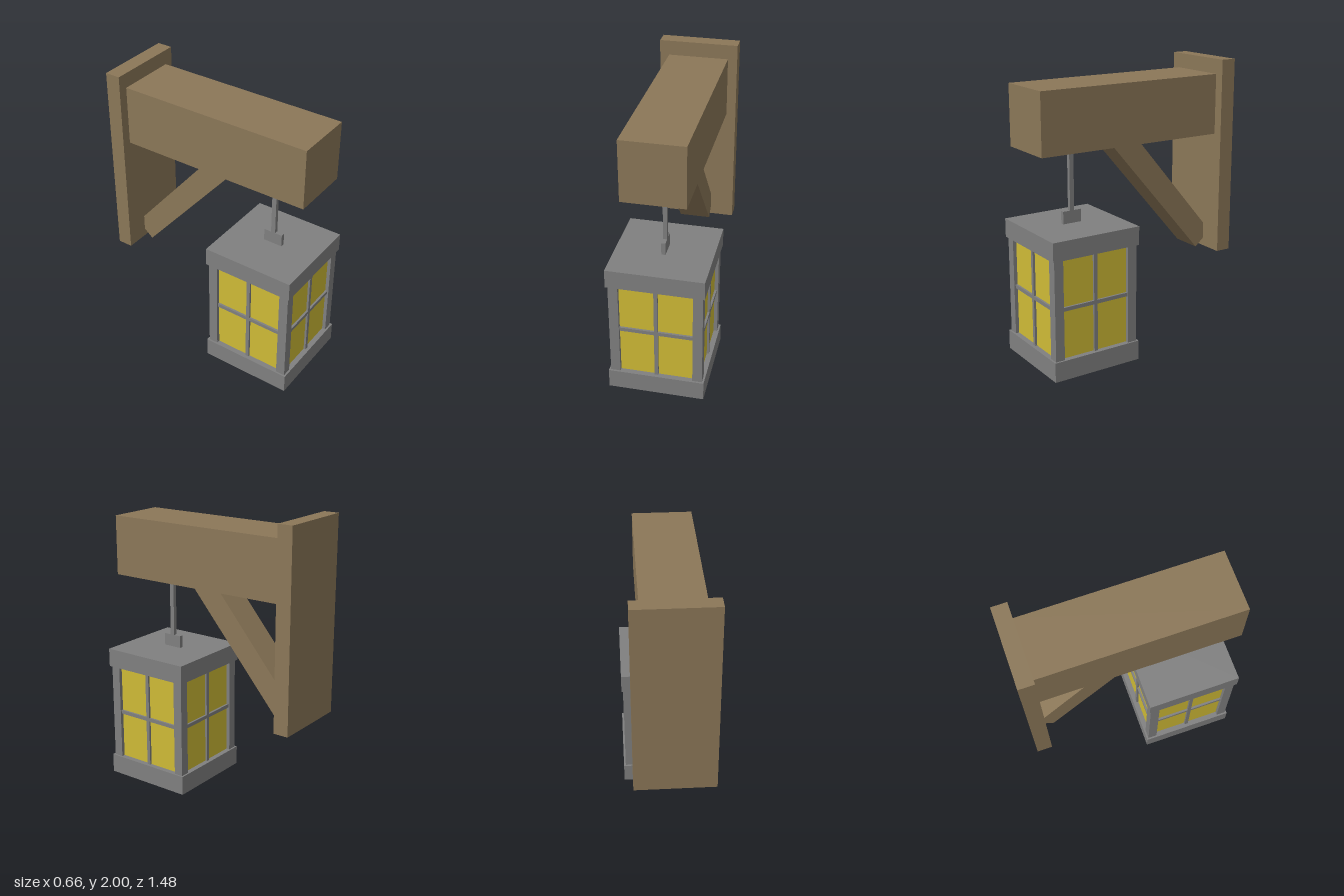
import * as THREE from 'three';

export function createModel() {
  const mat = (name, color) => {
    const m = new THREE.MeshStandardMaterial({ color });
    m.name = name;
    return m;
  };
  const wood = mat('wood', 0x8b7758);
  const iron = mat('iron', 0x808080);
  const glass = mat('yellow glass', 0xcfbb36);

  const model = new THREE.Group();
  model.name = 'wallLantern';

  // Box given by its extents on each axis
  const box = (parent, name, material, [x0, x1], [y0, y1], [z0, z1]) => {
    const mesh = new THREE.Mesh(new THREE.BoxGeometry(x1 - x0, y1 - y0, z1 - z0), material);
    mesh.position.set((x0 + x1) / 2, (y0 + y1) / 2, (z0 + z1) / 2);
    mesh.name = name;
    parent.add(mesh);
    return mesh;
  };

  // Wall bracket
  box(model, 'wallPlate', wood, [-0.275, 0.275], [0.635, 2], [-0.74, -0.633]);
  box(model, 'beam', wood, [-0.21, 0.21], [1.48, 1.897], [-0.633, 0.74]);

  // Diagonal brace: side profile (-z, y) extruded across x
  const profile = [[-0.16, 1.48], [0.06, 1.48], [0.633, 0.805], [0.633, 0.692], [0.567, 0.636]];
  const braceGeo = new THREE.ExtrudeGeometry(
    new THREE.Shape(profile.map(([x, y]) => new THREE.Vector2(x, y))),
    { depth: 0.22, bevelEnabled: false }
  );
  braceGeo.translate(0, 0, -0.11).rotateY(Math.PI / 2);
  const brace = new THREE.Mesh(braceGeo, wood);
  brace.name = 'brace';
  model.add(brace);

  // Lantern, built around its own vertical axis
  const lantern = new THREE.Group();
  lantern.name = 'lantern';
  lantern.position.z = 0.412;
  model.add(lantern);

  box(lantern, 'hangingRod', iron, [-0.014, 0.014], [1.045, 1.48], [-0.016, 0.016]);
  box(lantern, 'rodFoot', iron, [-0.014, 0.014], [0.958, 1.045], [-0.069, 0.069]);
  const cap = [-0.328, 0.328];
  box(lantern, 'lanternBase', iron, cap, [0, 0.137], cap);
  box(lantern, 'lanternTop', iron, cap, [0.828, 0.958], cap);
  box(lantern, 'glassBody', glass, [-0.29, 0.29], [0.137, 0.828], [-0.29, 0.29]);

  // Four sides, each with a corner post and crossed glazing bars
  for (let i = 0; i < 4; i++) {
    const side = new THREE.Group();
    side.name = 'lanternSide' + (i + 1);
    side.rotation.y = i * Math.PI / 2;
    lantern.add(side);
    box(side, 'cornerPost', iron, [0.249, 0.315], [0.137, 0.828], [0.249, 0.315]);
    box(side, 'uprightBar', iron, [-0.013, 0.013], [0.137, 0.828], [0.28, 0.305]);
    for (const [a, b] of [[-0.249, -0.013], [0.013, 0.249]])
      box(side, 'crossBar', iron, [a, b], [0.472, 0.498], [0.28, 0.305]);
  }
  return model;
}
